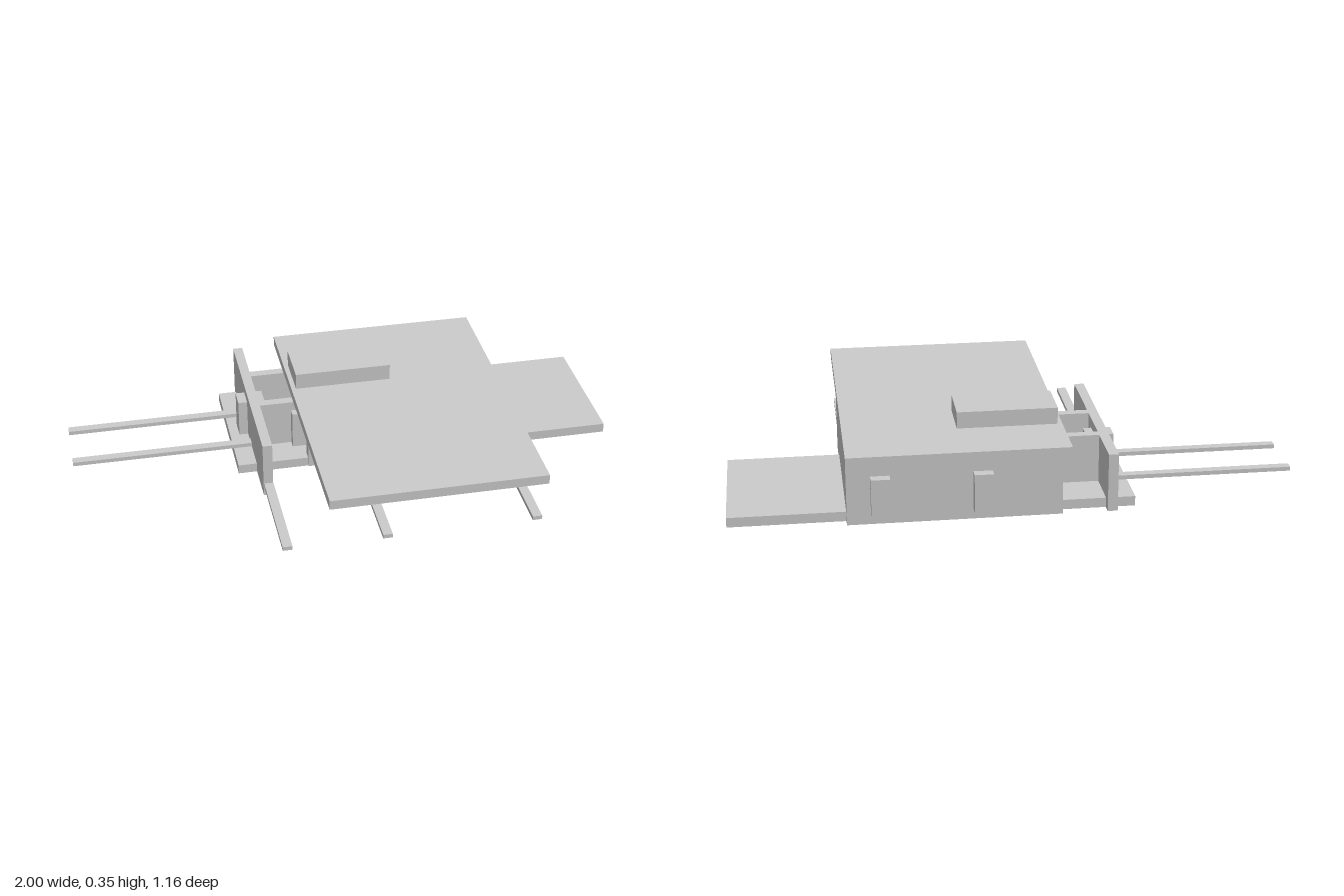
import * as THREE from 'three';

export function createModel() {
  const model = new THREE.Group();
  const material = new THREE.MeshStandardMaterial({ color: 0xcccccc, flatShading: true });

  // Box given by its extents [min, max] on each axis
  function box(name, [x0, x1], [y0, y1], [z0, z1]) {
    const mesh = new THREE.Mesh(new THREE.BoxGeometry(x1 - x0, y1 - y0, z1 - z0), material);
    mesh.name = name;
    mesh.position.set((x0 + x1) / 2, (y0 + y1) / 2, (z0 + z1) / 2);
    model.add(mesh);
  }

  // Floor and roof slabs, each with a raised block
  box('floorSlab', [-0.405, 1], [0.05, 0.085], [-0.51, 0]);
  box('roofSlab', [-0.177, 0.595], [0.26, 0.295], [-0.545, 0.58]);
  box('roofBlock', [-0.16, 0.195], [0.295, 0.355], [-0.325, -0.15]);
  box('underBlock', [-0.16, 0.195], [0, 0.05], [-0.325, -0.15]);

  // Walls and partitions
  const wallY = [0.05, 0.26];
  box('rightWall', [0.56, 0.595], wallY, [-0.545, 0.155]);
  box('leftWall', [-0.337, -0.302], wallY, [-0.545, 0.155]);
  box('backWall', [-0.145, 0.56], wallY, [-0.545, -0.51]);
  box('frontWall', [-0.145, 0.56], wallY, [-0.03, 0.005]);
  for (const z of [-0.345, -0.133]) box('crossWall', [-0.302, 0.05], wallY, [z - 0.017, z + 0.017]);
  box('middleWall', [0.017, 0.05], wallY, [-0.116, -0.03]);

  // Upright panels set through the walls
  const panelY = [0.085, 0.225];
  for (const x of [0.13, 0.48]) box('backPanel', [x - 0.033, x + 0.033], panelY, [-0.58, -0.475]);
  box('frontPanel', [0.263, 0.327], panelY, [-0.065, 0.04]);
  box('sidePanel', [-0.37, -0.272], panelY, [-0.275, -0.205]);
  box('innerPanel', [-0.187, -0.12], panelY, [-0.187, -0.085]);

  // Thin rods reaching out to the front and to the side
  const rodY = [0.085, 0.1];
  for (const [x, z] of [[-0.318, 0.155], [0.035, 0.005], [0.573, 0.155]])
    box('frontRod', [x - 0.017, x + 0.017], rodY, [z, 0.545]);
  for (const z of [-0.345, -0.133]) box('sideRod', [-1, -0.337], rodY, [z - 0.016, z + 0.016]);

  return model;
}
